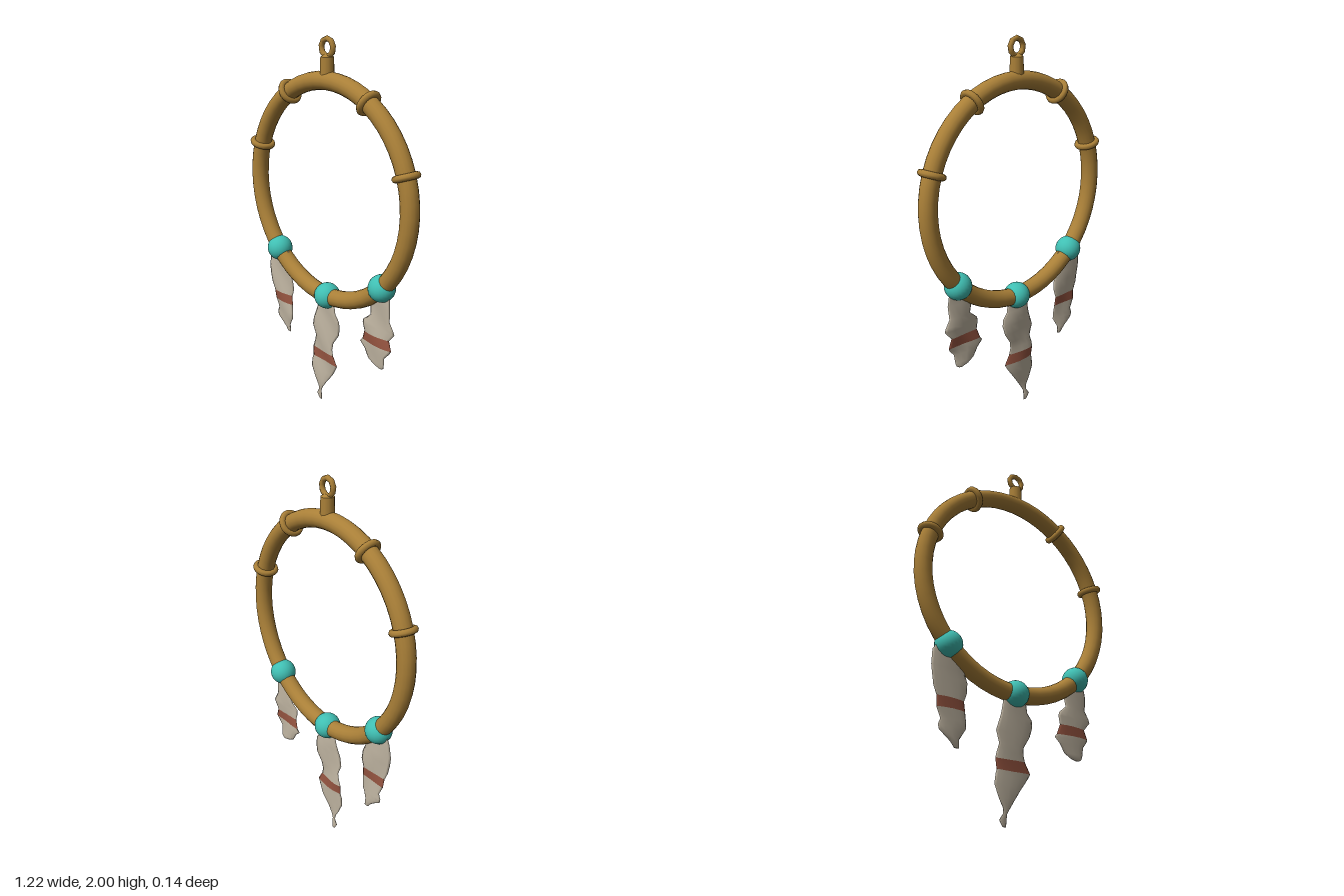
import * as THREE from 'three';

const mat = (name, color, side = THREE.FrontSide) => {
  const m = new THREE.MeshStandardMaterial({ color, side });
  m.name = name;
  return m;
};

const CY = 1.222, R = 0.565;

// Outline rows: [y, left x, right x], from quill to tip
const FEATHERS = {
  right: {
    x: -0.4, stripe: [0.555, 0.503],
    rows: [[0.82, -0.46, -0.32], [0.78, -0.485, -0.305], [0.7, -0.492, -0.31], [0.65, -0.485, -0.288],
      [0.6, -0.475, -0.285], [0.555, -0.455, -0.3], [0.503, -0.45, -0.295], [0.45, -0.425, -0.29],
      [0.42, -0.437, -0.29], [0.395, -0.43, -0.305], [0.365, -0.385, -0.322], [0.345, -0.362, -0.32], [0.325, -0.347, -0.32]],
  },
  middle: {
    x: 0, stripe: [0.316, 0.262],
    rows: [[0.66, -0.06, 0.05], [0.62, -0.07, 0.062], [0.57, -0.08, 0.07], [0.535, -0.09, 0.098], [0.5, -0.103, 0.102],
      [0.45, -0.117, 0.09], [0.39, -0.095, 0.05], [0.35, -0.107, 0.045], [0.316, -0.117, 0.053],
      [0.262, -0.112, 0.085], [0.235, -0.12, 0.07], [0.19, -0.125, 0.04], [0.13, -0.098, -0.005],
      [0.085, -0.072, -0.035], [0.06, -0.07, -0.048], [0.03, -0.09, -0.05], [0, -0.07, -0.05]],
  },
  left: {
    x: 0.4, stripe: [0.555, 0.503],
    rows: [[0.82, 0.33, 0.45], [0.78, 0.325, 0.458], [0.73, 0.318, 0.465], [0.66, 0.328, 0.46], [0.62, 0.28, 0.485],
      [0.6, 0.275, 0.493], [0.555, 0.286, 0.455], [0.503, 0.268, 0.473], [0.485, 0.252, 0.462],
      [0.455, 0.285, 0.435], [0.41, 0.312, 0.43], [0.39, 0.35, 0.425], [0.38, 0.385, 0.41]],
  },
};

// Thin lens-shaped body lofted through the outline rows
function blade(rows, closed) {
  const N = 12, pos = [], idx = [];
  const all = closed ? [...rows, [rows.at(-1)[0], ...Array(2).fill((rows.at(-1)[1] + rows.at(-1)[2]) / 2)]] : rows;
  for (const [y, a, b] of all) {
    const c = (a + b) / 2, h = (b - a) / 2;
    for (let j = 0; j < N; j++) {
      const t = j / N * Math.PI * 2, x = c + h * Math.cos(t);
      const wave = 0.005 * Math.sin(y * 21 + x * 25);
      pos.push(x, y, wave + Math.min(0.009, h * 0.3) * Math.sin(t));
    }
  }
  for (let i = 0; i < all.length - 1; i++) for (let j = 0; j < N; j++) {
    const k = (j + 1) % N, a = i * N + j, b = i * N + k, c = a + N, d = b + N;
    idx.push(a, b, c, b, d, c);
  }
  const g = new THREE.BufferGeometry();
  g.setAttribute('position', new THREE.Float32BufferAttribute(pos, 3));
  g.setIndex(idx);
  g.computeVertexNormals();
  return g;
}

export function createModel() {
  const wood = mat('wood', 0xaa8038);
  const turquoise = mat('turquoise', 0x40bfb3);
  const plume = mat('feather', 0xbfb4a1, THREE.DoubleSide);
  const band = mat('feather band', 0x955440, THREE.DoubleSide);
  const root = new THREE.Group();
  const add = (name, geo, m, x = 0, y = 0, z = 0, parent = root) => {
    const mesh = new THREE.Mesh(geo, m);
    mesh.name = name;
    mesh.position.set(x, y, z);
    parent.add(mesh);
    return mesh;
  };

  // Hoop
  add('hoop', new THREE.TorusGeometry(R, 0.046, 16, 56), wood, 0, CY);

  // Raised collars around the upper hoop
  for (const deg of [19, 59.5, 120.5, 161]) {
    const a = THREE.MathUtils.degToRad(deg);
    const holder = new THREE.Group();
    holder.name = 'collar';
    holder.position.set(R * Math.cos(a), CY + R * Math.sin(a), 0);
    holder.rotation.z = a;
    root.add(holder);
    add('collarRing', new THREE.TorusGeometry(0.052, 0.017, 8, 20), wood, 0, 0, 0, holder).rotation.x = Math.PI / 2;
  }

  // Hanging stem and eyelet
  add('hangerStem', new THREE.CylinderGeometry(0.034, 0.036, 0.1, 12), wood, 0, 1.85);
  add('stemShoulder', new THREE.CylinderGeometry(0.015, 0.034, 0.012, 12), wood, 0, 1.906);
  const eyelet = add('eyelet', new THREE.TorusGeometry(0.042, 0.014, 8, 9), wood, 0, 1.944);
  eyelet.rotation.z = Math.PI / 2;

  // Beads and feathers
  for (const [side, f] of Object.entries(FEATHERS)) {
    const y = CY - Math.sqrt(R * R - f.x * f.x);
    add(side + 'Bead', new THREE.SphereGeometry(0.07, 24, 16), turquoise, f.x, y);
    const g = new THREE.Group();
    g.name = side + 'Feather';
    root.add(g);
    const [hi, lo] = f.stripe;
    add('featherTop', blade(f.rows.filter(r => r[0] >= hi)), plume, 0, 0, 0, g);
    add('featherBand', blade(f.rows.filter(r => r[0] <= hi && r[0] >= lo)), band, 0, 0, 0, g);
    add('featherTip', blade(f.rows.filter(r => r[0] <= lo), true), plume, 0, 0, 0, g);
  }
  return root;
}
